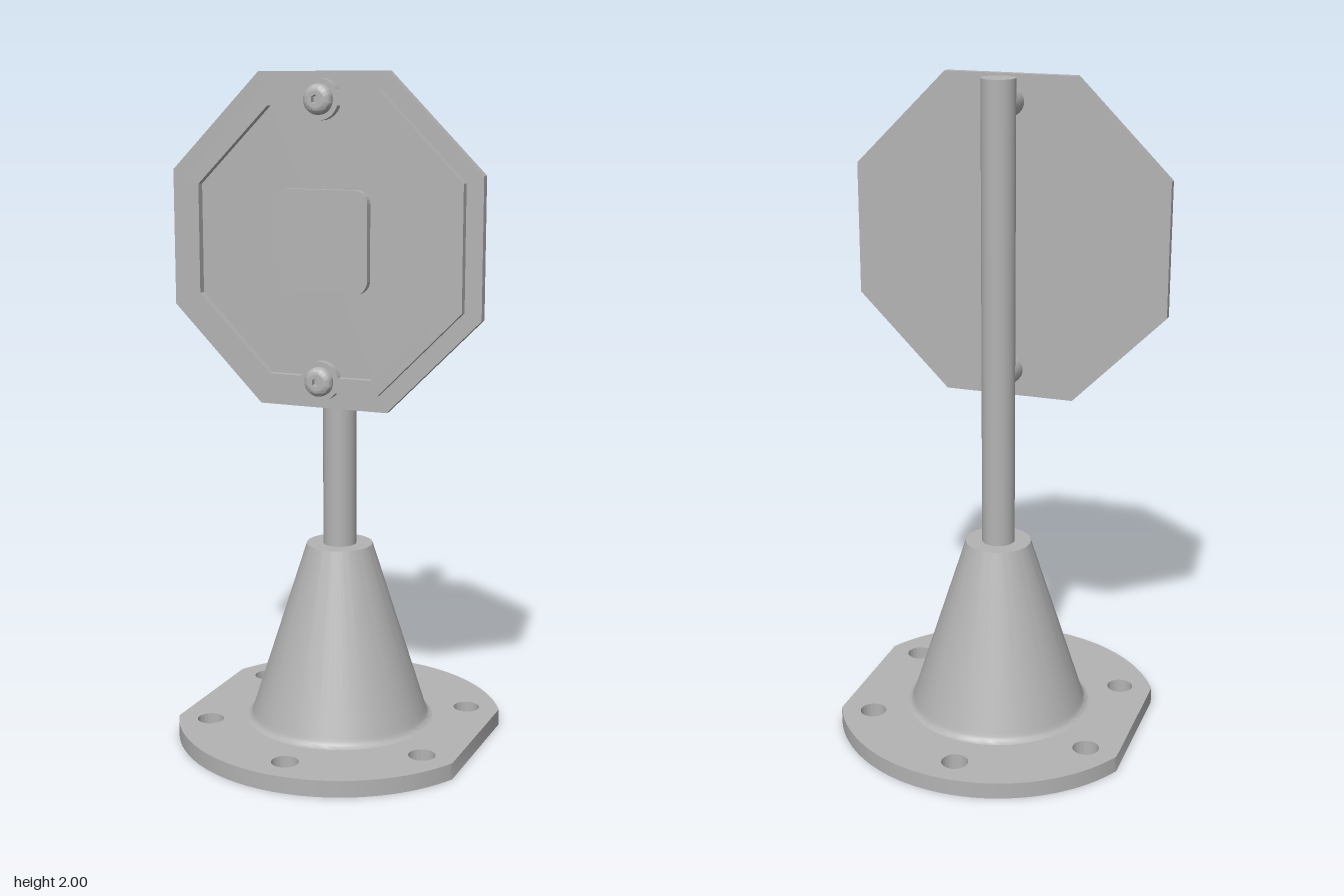
import * as THREE from 'three';
import { toCreasedNormals } from 'three/addons/utils/BufferGeometryUtils.js';

const SIGN_Y = 1.52;
const SIGN_BACK = 0.1, SIGN_FACE = 0.125, RIM_FACE = 0.148;

// Polygon outline with flat sides facing the axes; "half" is centre to flat side
function polygon(half, sides, Type = THREE.Shape) {
  const r = half / Math.cos(Math.PI / sides);
  const points = [];
  for (let i = 0; i < sides; i++) {
    const a = ((i + 0.5) / sides) * Math.PI * 2;
    points.push(new THREE.Vector2(r * Math.cos(a), r * Math.sin(a)));
  }
  return new Type(points);
}

function roundedSquare(h, r) {
  const s = new THREE.Shape();
  s.absarc(h - r, h - r, r, 0, Math.PI / 2);
  s.absarc(-h + r, h - r, r, Math.PI / 2, Math.PI);
  s.absarc(-h + r, -h + r, r, Math.PI, Math.PI * 1.5);
  s.absarc(h - r, -h + r, r, Math.PI * 1.5, Math.PI * 2);
  s.closePath();
  return s;
}

function circle(r, x = 0, y = 0, Type = THREE.Shape) {
  const c = new Type();
  c.absarc(x, y, r, 0, Math.PI * 2);
  return c;
}

const extrude = (shape, depth) => toCreasedNormals(
  new THREE.ExtrudeGeometry(shape, { depth, bevelEnabled: false, curveSegments: 24 }), 0.5);

const lathe = (profile, segments) => toCreasedNormals(
  new THREE.LatheGeometry(profile.map(([x, y]) => new THREE.Vector2(x, y)), segments), 0.6);

export function createModel() {
  const model = new THREE.Group();
  model.name = 'signPost';
  const metal = new THREE.MeshStandardMaterial({ color: 0xb3b3b3 });
  metal.name = 'grey metal';

  const add = (name, geometry, x = 0, y = 0, z = 0, parent = model) => {
    const mesh = new THREE.Mesh(geometry, metal);
    mesh.name = name;
    mesh.position.set(x, y, z);
    parent.add(mesh);
    return mesh;
  };

  // Base flange: disc trimmed flat on both sides, with six bolt holes
  const R = 0.497, trim = Math.acos(0.447 / R);
  const flange = new THREE.Shape();
  flange.absarc(0, 0, R, trim, Math.PI - trim);
  flange.absarc(0, 0, R, Math.PI + trim, Math.PI * 2 - trim);
  flange.closePath();
  for (let i = 0; i < 6; i++) {
    const a = Math.PI / 6 + (i * Math.PI) / 3;
    flange.holes.push(circle(0.04, 0.4 * Math.cos(a), 0.4 * Math.sin(a), THREE.Path));
  }
  const flangeGeometry = toCreasedNormals(new THREE.ExtrudeGeometry(flange,
    { depth: 0.05, bevelEnabled: false, curveSegments: 48 }), 0.5);
  add('baseFlange', flangeGeometry.rotateX(-Math.PI / 2));

  // Cone with a small fillet where it meets the flange
  add('baseCone', lathe([
    [0.287, 0.05], [0.279, 0.053], [0.273, 0.059], [0.269, 0.068],
    [0.265, 0.08], [0.1, 0.6], [0, 0.6],
  ], 72));

  // Pole
  add('pole', new THREE.CylinderGeometry(0.05, 0.05, 1.95, 48), 0, 1.025, 0);

  // Octagonal sign with a raised rim and centre panel
  add('signPlate', extrude(polygon(0.48, 8), SIGN_FACE - SIGN_BACK), 0, SIGN_Y, SIGN_BACK);
  const rim = polygon(0.43, 8);
  rim.holes.push(polygon(0.385, 8, THREE.Path));
  add('signRim', extrude(rim, RIM_FACE - SIGN_FACE), 0, SIGN_Y, SIGN_FACE);
  add('centrePanel', extrude(roundedSquare(0.147, 0.04), RIM_FACE - SIGN_FACE), 0, SIGN_Y + 0.005, SIGN_FACE);

  // Upper and lower fixings: standoff, boss and domed socket bolt
  for (const [side, y] of [['upper', 1.922], ['lower', 1.122]]) {
    const fixing = new THREE.Group();
    fixing.name = side + 'Fixing';
    fixing.position.y = y;
    model.add(fixing);

    add('standoff', new THREE.CylinderGeometry(0.043, 0.043, 0.1, 32).rotateX(Math.PI / 2), 0, 0, 0.051, fixing);
    add('boss', extrude(circle(0.058), RIM_FACE - SIGN_FACE), 0, 0, SIGN_FACE, fixing);

    const dome = [[0.043, 0], [0.043, 0.008]];
    for (let i = 1; i <= 6; i++) {
      const a = (i / 6) * Math.PI / 2;
      dome.push([0.024 + 0.019 * Math.cos(a), 0.008 + 0.019 * Math.sin(a)]);
    }
    add('boltHead', lathe(dome, 32).rotateX(Math.PI / 2), 0, 0, RIM_FACE, fixing);

    const socket = circle(0.024);
    socket.holes.push(polygon(0.012, 6, THREE.Path));
    add('boltSocket', extrude(socket, 0.02), 0, 0, RIM_FACE + 0.007, fixing);
    add('socketFloor', new THREE.CircleGeometry(0.02, 24), 0, 0, RIM_FACE + 0.009, fixing);
  }
  return model;
}
